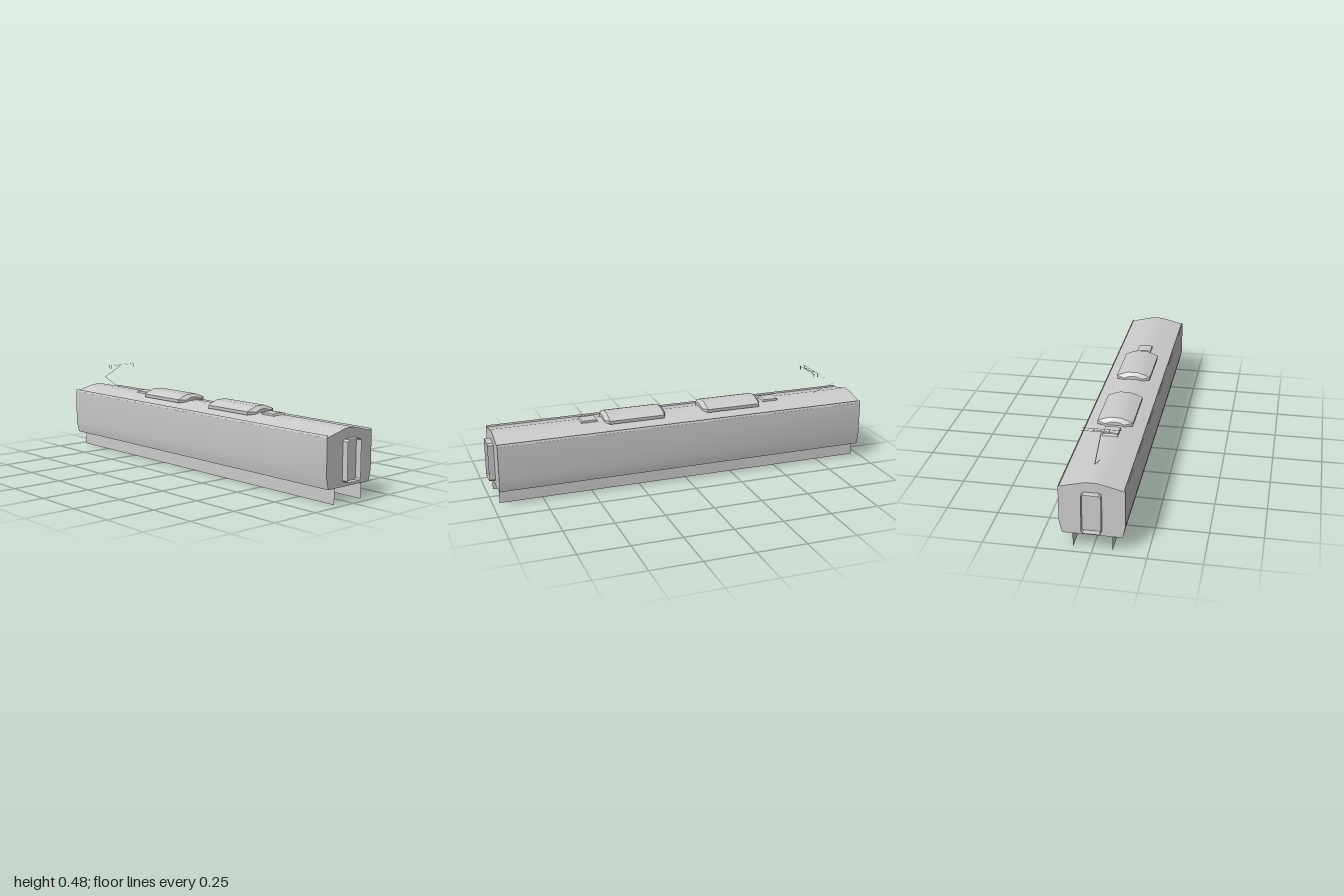
import * as THREE from 'three';
import { toCreasedNormals } from 'three/addons/utils/BufferGeometryUtils.js';

const material = new THREE.MeshStandardMaterial({ color: 0xcccccc, side: THREE.DoubleSide });

function add(parent, name, geometry, x = 0, y = 0, z = 0) {
  const mesh = new THREE.Mesh(geometry, material);
  mesh.name = name;
  mesh.position.set(x, y, z);
  parent.add(mesh);
  return mesh;
}

// Skin a list of rings of [x, y, z] points
function loft(rings, crease = 0.6) {
  const n = rings[0].length, index = [];
  for (let i = 0; i < rings.length - 1; i++) {
    for (let j = 0; j < n - 1; j++) {
      const a = i * n + j, b = a + 1, c = a + n, d = c + 1;
      index.push(a, b, c, b, d, c);
    }
  }
  const g = new THREE.BufferGeometry();
  g.setAttribute('position', new THREE.Float32BufferAttribute(rings.flat(2), 3));
  g.setIndex(index);
  return toCreasedNormals(g, crease);
}

const ringAt = (profile, z) => profile.map(([x, y]) => [x, y, z]);
const sweep = (profile, z0, z1) => loft([ringAt(profile, z0), ringAt(profile, z1)]);
// Complete a +x half profile (bottom to top) with its mirror image
const mirrored = (half) => [...half, ...half.map(([x, y]) => [-x, y]).reverse()];
const closed = (profile) => [...profile, profile[0]];
const shapeOf = (profile) => new THREE.Shape(profile.map(([x, y]) => new THREE.Vector2(x, y)));

// Flat ribbon of given width across x, following points in the yz plane
function ribbon(points, width) {
  const side = (s) => points.map(([y, z]) => [s * width / 2, y, z]);
  return loft([side(1), side(-1)]);
}

// Roof pod with bevelled ends
function podGeometry(halfLength) {
  const full = closed(mirrored([[0.085, 0.335], [0.087, 0.352], [0.057, 0.365], [0.026, 0.375]]));
  const end = full.map(([x, y]) => [x * 0.53, 0.338 + (y - 0.335) * 0.55]);
  const tip = full.map(() => [0, 0.346]);
  const l = halfLength, s = halfLength - 0.018;
  return loft([ringAt(tip, -l), ringAt(end, -l), ringAt(full, -s),
    ringAt(full, s), ringAt(end, l), ringAt(tip, l)]);
}

export function createModel() {
  const car = new THREE.Group();
  car.name = 'railCar';
  const L = 0.97;

  // Body shell, open underneath, with flat end walls
  const body = mirrored([[0.137, 0.077], [0.15, 0.135], [0.15, 0.312],
    [0.1, 0.325], [0.055, 0.336], [0.026, 0.343]]);
  add(car, 'bodyShell', sweep(body, -L, L));
  const endWall = new THREE.ShapeGeometry(shapeOf(body));
  add(car, 'frontEndWall', endWall, 0, 0, L);
  add(car, 'backEndWall', endWall, 0, 0, -L).rotation.y = Math.PI;

  // Gangway sleeves at both ends
  const sleeve = closed(mirrored([[0.038, 0.1], [0.045, 0.107], [0.045, 0.285], [0.036, 0.295]]));
  add(car, 'frontGangway', sweep(sleeve, L, 1));
  add(car, 'backGangway', sweep(sleeve, -1, -L));

  // Rain gutters and thin lower skirts
  for (const s of [1, -1]) {
    const side = s > 0 ? 'left' : 'right';
    const gutter = new THREE.ExtrudeGeometry(
      shapeOf([[s * 0.15, 0.311], [s * 0.146, 0.323], [s * 0.145, 0.312]]),
      { depth: 2 * L, bevelEnabled: false });
    add(car, side + 'Gutter', gutter, 0, 0, -L);
    add(car, side + 'Skirt', new THREE.PlaneGeometry(1.93, 0.077), s * 0.09, 0.0385, 0)
      .rotation.y = s * Math.PI / 2;
  }

  // Roof pods and small vents
  const vent = closed(mirrored([[0.036, 0.336], [0.036, 0.351], [0.018, 0.354]]));
  const ventEnd = vent.map(([x]) => [x, 0.34]);
  const ventGeometry = loft([ringAt(ventEnd, -0.043), ringAt(vent, -0.037),
    ringAt(vent, 0.037), ringAt(ventEnd, 0.043)]);
  for (const s of [1, -1]) {
    const end = s > 0 ? 'front' : 'back';
    add(car, end + 'RoofPod', podGeometry(0.16), 0, 0, s > 0 ? 0.253 : -0.267);
    add(car, end + 'RoofVent', ventGeometry, 0, 0, s > 0 ? 0.486 : -0.496);
  }

  // Current collector: folded arm, twin contact strips, end plates
  const collector = new THREE.Group();
  collector.name = 'currentCollector';
  car.add(collector);
  add(collector, 'foldedArm', ribbon([[0.343, -0.76], [0.39, -0.89], [0.474, -0.735]], 0.004));
  for (const z of [-0.722, -0.748]) {
    add(collector, 'contactStrip', new THREE.PlaneGeometry(0.18, 0.004), 0, 0.476, z)
      .rotation.x = -Math.PI / 2;
    for (const x of [-0.075, 0.075]) {
      add(collector, 'endPlate', new THREE.PlaneGeometry(0.004, 0.02), x, 0.468, z)
        .rotation.y = Math.PI / 2;
    }
  }
  add(collector, 'crossBar', new THREE.PlaneGeometry(0.08, 0.004), 0, 0.474, -0.735)
    .rotation.x = -Math.PI / 2;
  for (const x of [-0.035, 0.035]) {
    add(collector, 'stripLink', new THREE.PlaneGeometry(0.004, 0.028), x, 0.475, -0.735)
      .rotation.x = -Math.PI / 2;
  }
  return car;
}
